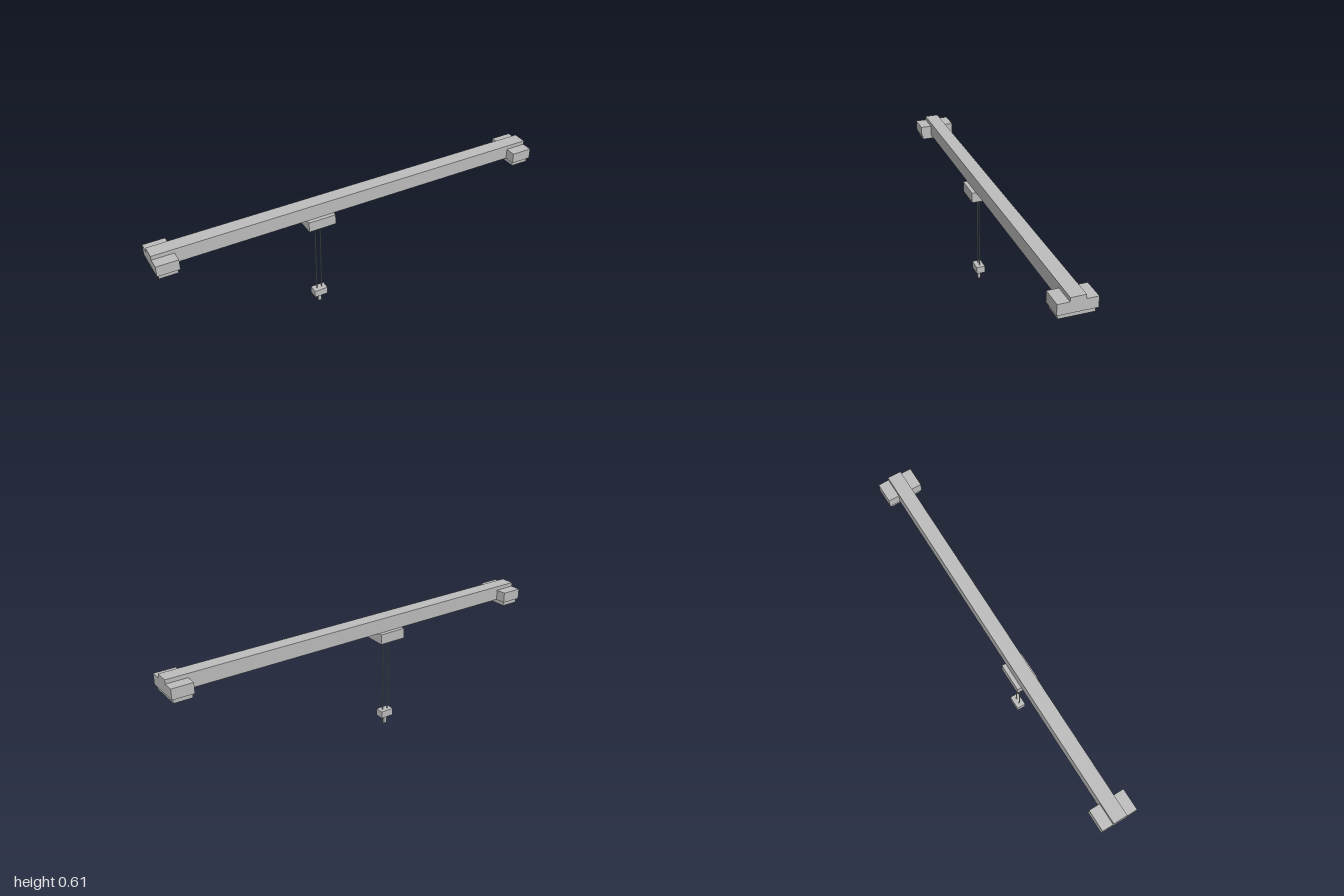
import * as THREE from 'three';

export function createModel() {
  const model = new THREE.Group();
  model.name = 'overheadCrane';
  const steel = new THREE.MeshStandardMaterial({ color: 0xbfbfbf });
  steel.name = 'grey steel';

  // Box given by its centre x, bottom, top, width and depth, centred on z = 0
  const box = (name, x, bottom, top, width, depth, parent = model) => {
    const mesh = new THREE.Mesh(new THREE.BoxGeometry(width, top - bottom, depth), steel);
    mesh.position.set(x, (bottom + top) / 2, 0);
    mesh.name = name;
    parent.add(mesh);
  };

  // Main girder
  box('girder', 0, 0.537, 0.61, 2, 0.07);

  // End trucks with their narrower wheel bases
  for (const side of [-1, 1]) {
    const truck = new THREE.Group();
    truck.name = side > 0 ? 'leftEndTruck' : 'rightEndTruck';
    box('truckBody', side * 0.947, 0.537, 0.59, 0.106, 0.18, truck);
    box('truckBase', side * 0.946, 0.515, 0.537, 0.09, 0.162, truck);
    model.add(truck);
  }

  // Trolley hanging under the girder
  const hoistX = -0.184;
  box('trolley', hoistX, 0.485, 0.537, 0.14, 0.11);

  // Pair of hoist ropes
  for (const side of [-1, 1]) {
    const rope = new THREE.Mesh(new THREE.CylinderGeometry(0.0025, 0.0025, 0.403, 8), steel);
    rope.position.set(hoistX + side * 0.0135, 0.2835, 0);
    rope.name = side > 0 ? 'leftRope' : 'rightRope';
    model.add(rope);
  }

  // Hook block and hook
  box('hookBlock', hoistX, 0.045, 0.082, 0.07, 0.045);
  box('hook', hoistX, 0, 0.045, 0.018, 0.0125);

  return model;
}
